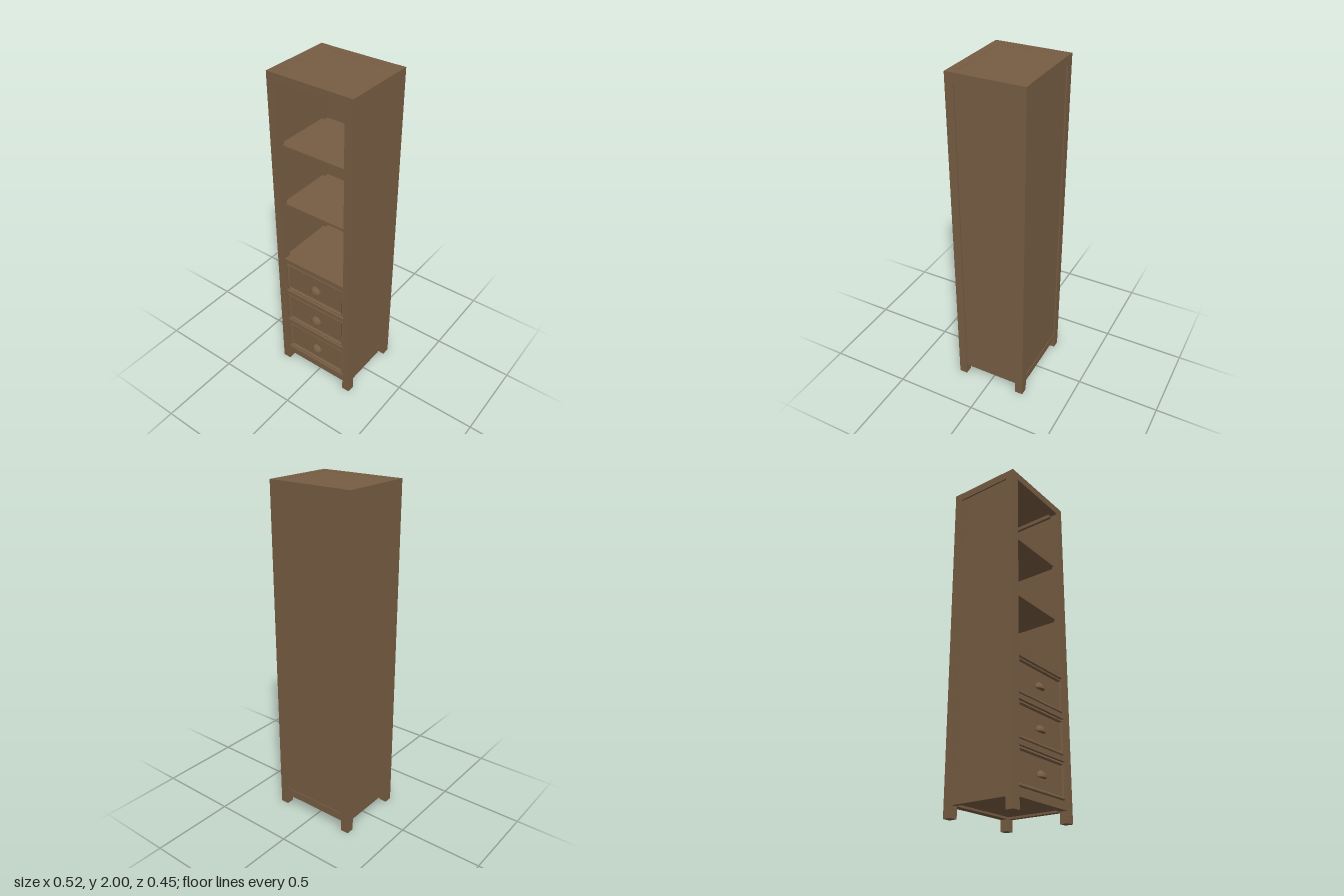
import * as THREE from 'three';

const wood = new THREE.MeshStandardMaterial({ color: 0x775d43 });
wood.name = 'brownWood';
const woodOpen = wood; // one colour for every part

// Outer limits of the cabinet and the thickness of its frame
const X = 0.262, BACK = -0.227, FRONT = 0.217, T = 0.049;
const XI = X - T, BI = BACK + T, FI = FRONT - T, TOP = 2, TI = TOP - T, FOOT = 0.065;

function add(parent, name, geometry) {
  const mesh = new THREE.Mesh(geometry, woodOpen);
  mesh.name = name;
  parent.add(mesh);
  return mesh;
}

// Box given by its limits; an optional rule moves its corners
function block(parent, name, x0, x1, y0, y1, z0, z1, rule) {
  const g = new THREE.BoxGeometry(x1 - x0, y1 - y0, z1 - z0);
  g.translate((x0 + x1) / 2, (y0 + y1) / 2, (z0 + z1) / 2);
  if (rule) {
    const p = g.attributes.position, v = new THREE.Vector3();
    for (let i = 0; i < p.count; i++) {
      v.fromBufferAttribute(p, i);
      rule(v);
      p.setXYZ(i, v.x, v.y, v.z);
    }
    g.computeVertexNormals();
  }
  return add(parent, name, g);
}

// Rectangular picture-frame moulding, extruded towards +z
function moulding(parent, name, w, h, border, z, depth, bevel) {
  const rect = (S, a, b) => {
    const s = new S();
    s.moveTo(-a, -b); s.lineTo(a, -b); s.lineTo(a, b); s.lineTo(-a, b); s.closePath();
    return s;
  };
  const shape = rect(THREE.Shape, w / 2 - bevel, h / 2 - bevel);
  shape.holes.push(rect(THREE.Path, w / 2 - border + bevel, h / 2 - border + bevel));
  const g = new THREE.ExtrudeGeometry(shape, {
    depth: depth - bevel, bevelEnabled: true, bevelSize: bevel, bevelThickness: bevel, bevelSegments: 1
  });
  g.translate(0, 0, z);
  return add(parent, name, g);
}

// Cup pull: a quarter dome with a small flange on each side
function cupPull(parent, z) {
  const pull = new THREE.Group();
  pull.name = 'cupPull';
  const dome = new THREE.SphereGeometry(1, 24, 8, 0, Math.PI, 0, Math.PI / 2);
  dome.scale(0.036, 0.038, 0.028);
  add(pull, 'pullCup', dome);
  // underside closes the cup
  const base = new THREE.CircleGeometry(1, 24, 0, Math.PI);
  base.rotateX(Math.PI / 2);
  base.scale(0.036, 1, 0.028);
  add(pull, 'pullUnderside', base);
  for (const s of [-1, 1]) {
    block(pull, 'pullFlange', s * 0.038 - 0.007, s * 0.038 + 0.007, 0.004, 0.013, 0, 0.004);
  }
  pull.position.set(0, -0.02, z);
  parent.add(pull);
}

export function createModel() {
  const cabinet = new THREE.Group();
  cabinet.name = 'cabinet';

  for (const s of [-1, 1]) {
    const lo = (a, b) => Math.min(s * a, s * b), hi = (a, b) => Math.max(s * a, s * b);
    const side = (name, a, b, y0, y1, z0, z1, rule) =>
      block(cabinet, name, lo(a, b), hi(a, b), y0, y1, z0, z1, rule);

    // Front post, mitred at the top on both outer faces
    side('frontPost', XI, X, 0, TOP, FI, FRONT, v => {
      const outer = Math.abs(v.x) > X - 0.01 && v.z > FRONT - 0.01;
      if (v.y > 1 && !outer) v.y = TI;
    });
    // Back post, sloped under the top side rail
    side('backPost', XI, X, 0, TOP, BACK, BI, v => {
      if (v.y > 1 && v.z > BI - 0.01) v.y = TI;
    });
    // Top side rail with mitred ends
    side('topSideRail', XI, X, TI, TOP, BI, FI, v => {
      if (v.y < TOP - 0.01) return;
      if (v.z < 0) v.z = BACK;
      else if (Math.abs(v.x) > X - 0.01) v.z = FRONT;
    });
    side('bottomSideRail', XI + 0.012, X - 0.008, FOOT, FOOT + T, BI, FI);
    side('sidePanel', XI + 0.018, X - 0.009, FOOT + T, TI, BI, FI);
  }

  // Front top rail, mitred into the posts
  block(cabinet, 'topFrontRail', -XI, XI, TI, TOP, FI, FRONT, v => {
    if (v.y > TOP - 0.01 && v.z > FRONT - 0.01) v.x = Math.sign(v.x) * X;
  });
  block(cabinet, 'topPanel', -XI, XI, TOP - 0.025, TOP - 0.001, BI, FI);
  block(cabinet, 'topBackRail', -XI, XI, TI, TOP, BACK + 0.002, BI);
  block(cabinet, 'bottomBackRail', -XI, XI, FOOT, FOOT + T, BACK + 0.004, BI);
  block(cabinet, 'backPanel', -XI, XI, FOOT + T, TI, BACK + 0.008, BACK + 0.022);
  block(cabinet, 'bottomFrontRail', -XI, XI, FOOT, FOOT + T - 0.002, FI, FRONT - 0.004);
  block(cabinet, 'bottomPanel', -XI - 0.012, XI + 0.012, FOOT + 0.012, FOOT + 0.028, BI, FI);

  // Shelves and the deck above the drawers
  for (const y of [1.206, 1.578]) {
    block(cabinet, 'shelf', -XI, XI, y - 0.008, y + 0.008, BACK + 0.022, 0.18);
    for (const s of [-1, 1]) {
      block(cabinet, 'shelfEnd', s * (XI + 0.009) - 0.009, s * (XI + 0.009) + 0.009, y - 0.008, y + 0.008, BI, FI);
    }
  }
  block(cabinet, 'drawerDeck', -XI, XI, 0.81, 0.84, BACK + 0.022, FRONT - 0.004);
  for (const s of [-1, 1]) {
    block(cabinet, 'deckEnd', s * (XI + 0.009) - 0.009, s * (XI + 0.009) + 0.009, 0.81, 0.84, BI, FI);
  }

  // Rails between the drawers
  for (const [y0, y1] of [[0.568, 0.596], [0.325, 0.355]]) {
    block(cabinet, 'drawerRail', -XI, XI, y0, y1, FI, FRONT - 0.004);
  }

  // Three drawers with moulded fronts and cup pulls
  for (const y of [0.703, 0.461, 0.219]) {
    const drawer = new THREE.Group();
    drawer.name = 'drawer';
    drawer.position.y = y;
    block(drawer, 'drawerPanel', -0.209, 0.209, -0.102, 0.102, FI, 0.195);
    block(drawer, 'drawerBox', -0.2, 0.2, -0.09, 0.07, BI + 0.02, FI);
    moulding(drawer, 'drawerMoulding', 0.418, 0.204, 0.018, 0.195, 0.014, 0.006);
    cupPull(drawer, 0.195);
    cabinet.add(drawer);
  }

  return cabinet;
}
